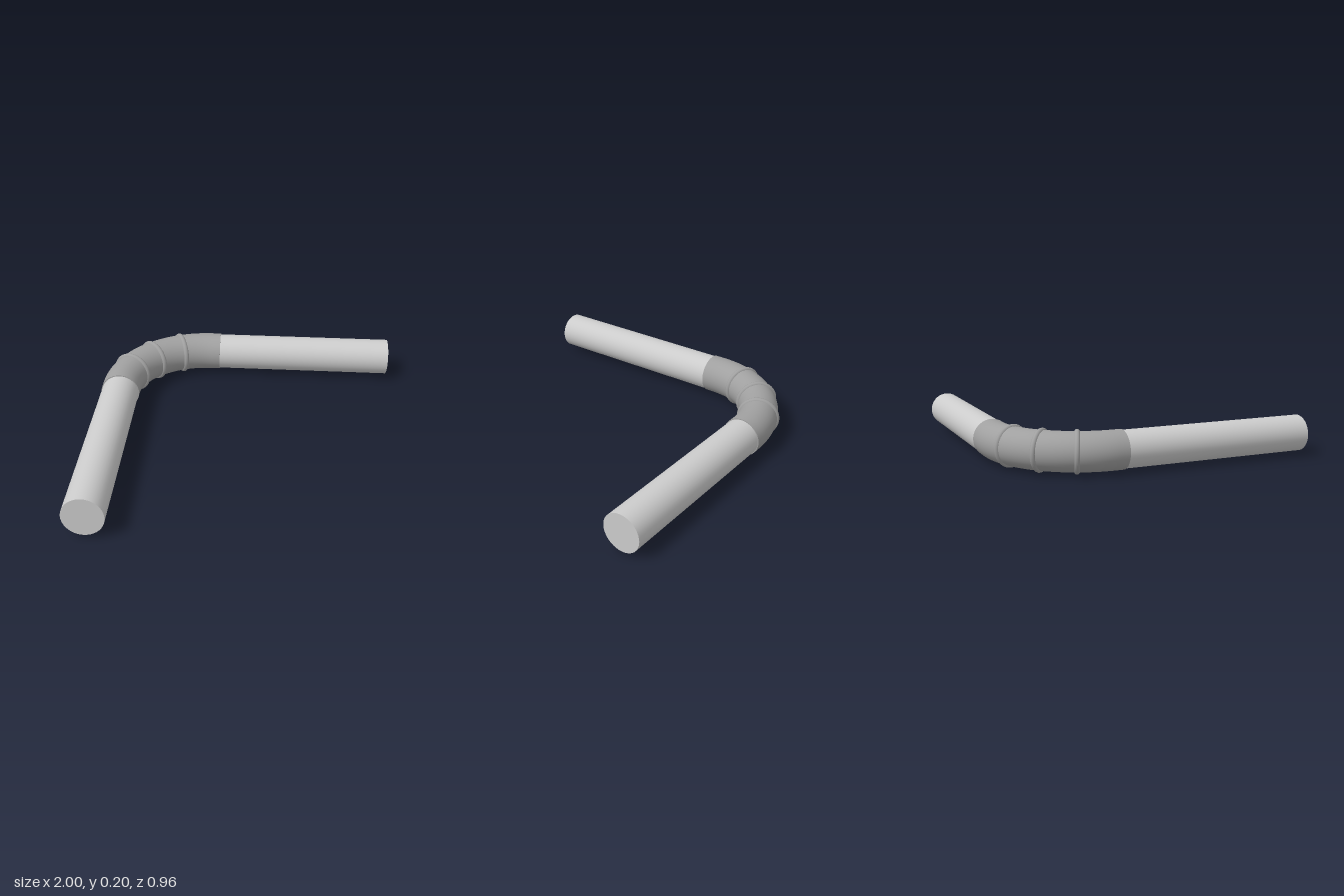
import * as THREE from 'three';

const Y = 0.098, CX = 0.033, CZ = 0.022; // bend centre
const BEND = 0.407, LIP = 0.042;         // bend radius, straight elbow ends
const PIPE_R = 0.085, ELBOW_R = 0.089;
const SIDES = 40;

// Point and direction on the bend; angle 0 is the back-most point
const onBend = (a) => new THREE.Vector3(CX + BEND * Math.sin(a), Y, CZ - BEND * Math.cos(a));
const along = (a) => new THREE.Vector3(Math.cos(a), 0, Math.sin(a));

// Centre line: straight end, quarter turn, straight end
class ElbowCurve extends THREE.Curve {
  getPoint(t, target = new THREE.Vector3()) {
    const arc = BEND * Math.PI / 2;
    const s = t * (arc + 2 * LIP) - LIP;
    const c = Math.min(Math.max(s, 0), arc);
    const a = c / BEND - Math.PI / 4;
    return target.copy(onBend(a)).addScaledVector(along(a), s - c);
  }
}

export function createModel() {
  const group = new THREE.Group();
  const pipeMat = new THREE.MeshStandardMaterial({ color: 0xcccccc });
  const elbowMat = new THREE.MeshStandardMaterial({ color: 0xa0a0a0 });

  const add = (name, geometry, material, position, direction, axis) => {
    const mesh = new THREE.Mesh(geometry, material);
    mesh.name = name;
    if (position) mesh.position.copy(position);
    if (direction) mesh.quaternion.setFromUnitVectors(axis, direction);
    group.add(mesh);
  };
  const UP = new THREE.Vector3(0, 1, 0), FWD = new THREE.Vector3(0, 0, 1);

  // Elbow body
  add('elbow', new THREE.TubeGeometry(new ElbowCurve(), 48, ELBOW_R, SIDES, false), elbowMat);

  // Raised beads around the elbow
  for (const i of [-1, 0, 1]) {
    const a = i * Math.PI / 8;
    add('elbowBead', new THREE.TorusGeometry(0.085, 0.013, 12, SIDES), elbowMat, onBend(a), along(a), FWD);
  }

  // Straight pipes, pushed a little way into the elbow, with the elbow's end rims
  for (const [side, length] of [[-1, 0.967], [1, 0.88]]) {
    const a = side * Math.PI / 4;
    const out = along(a).multiplyScalar(side);
    const start = onBend(a);
    add(side < 0 ? 'rightPipe' : 'leftPipe',
      new THREE.CylinderGeometry(PIPE_R, PIPE_R, length, SIDES), pipeMat,
      start.clone().addScaledVector(out, length / 2), out, UP);
    add('elbowRim', new THREE.RingGeometry(PIPE_R - 0.002, ELBOW_R, SIDES), elbowMat,
      start.clone().addScaledVector(out, LIP), out, FWD);
  }
  return group;
}
